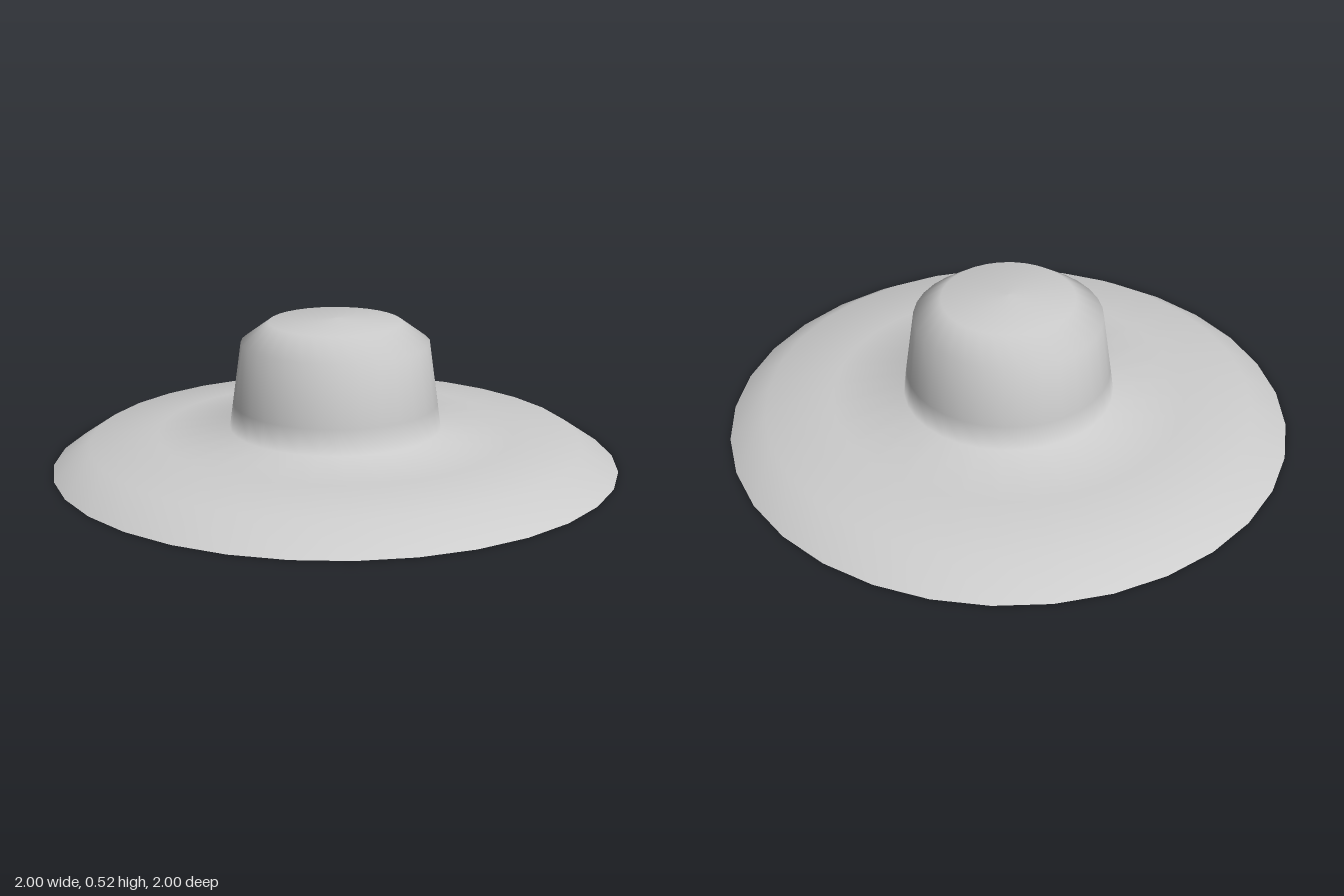
import * as THREE from 'three';

// Wide-brimmed round hat: one thin shell turned around the y axis, open underneath
export function createModel() {
  const felt = new THREE.MeshStandardMaterial({ color: 0xcccccc, side: THREE.DoubleSide });
  felt.name = 'grey felt';

  // [radius, height] from the brim edge up to the crown tip
  const profile = [
    [1, 0], [0.87, 0.088], [0.63, 0.113], [0.375, 0.131], // sloped brim
    [0.363, 0.22], [0.333, 0.438],                        // tapered crown wall
    [0.235, 0.509], [0, 0.522],                           // shoulder and top
  ].map(([r, y]) => new THREE.Vector2(r, y));

  const hat = new THREE.Mesh(new THREE.LatheGeometry(profile, 32), felt);
  hat.name = 'hatShell';

  const group = new THREE.Group();
  group.name = 'hat';
  group.add(hat);
  return group;
}
